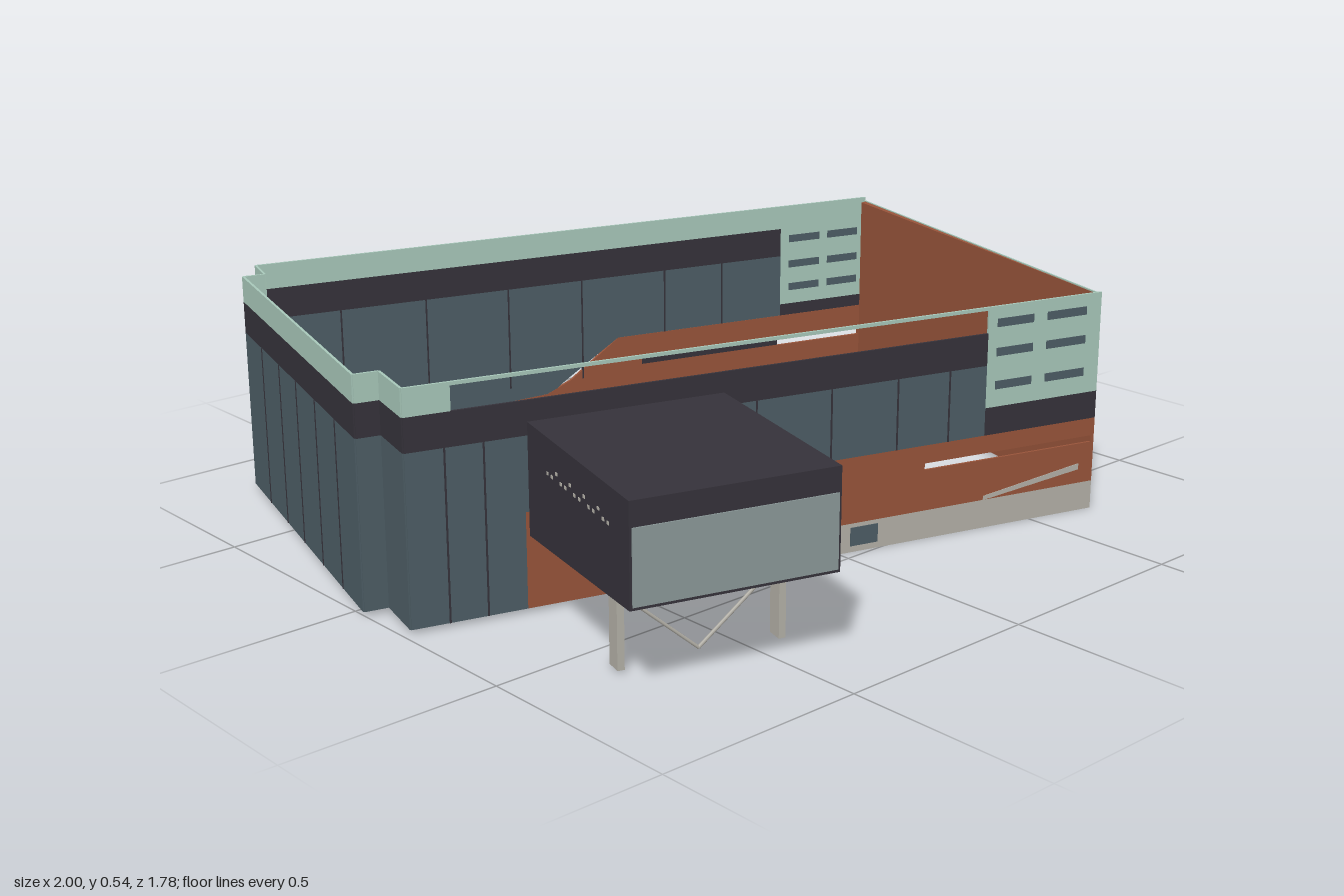
import * as THREE from 'three';

const mat = (name, color) => {
  const m = new THREE.MeshStandardMaterial({ color, side: THREE.DoubleSide });
  m.name = name;
  return m;
};

export function createModel() {
  const green = mat('pale green cladding', 0xa8c8ba);
  const dark = mat('charcoal cladding', 0x35323a);
  const glass = mat('blue grey glazing', 0x4d5d65);
  const orange = mat('terracotta cladding', 0x98543a);
  const stone = mat('pale stone', 0xb4b1a8);
  const pane = mat('pale glazing', 0x8b9999);

  const model = new THREE.Group();
  model.name = 'building';

  // Footprint corners as [x, z]
  const A = [-0.98, 0.18], B = [0.67, 0.66], C = [1, -0.42], D = [-0.67, -0.89];
  const E = [-0.7, -0.8], F = [-0.75, -0.815], G = [-1, 0.035], H = [-0.945, 0.05];

  // Group whose x runs from P to Q and whose z points outward
  function frame(name, P, Q) {
    const g = new THREE.Group();
    const dx = Q[0] - P[0], dz = Q[1] - P[1];
    g.name = name;
    g.position.set(P[0], 0, P[1]);
    g.rotation.y = -Math.atan2(dz, dx);
    g.userData.length = Math.hypot(dx, dz);
    model.add(g);
    return g;
  }

  const path = (pts, L, Type) => new Type(pts.map(([t, y]) => new THREE.Vector2(t * L, y)));
  const box = (t0, t1, y0, y1) => [[t0, y0], [t1, y0], [t1, y1], [t0, y1]];

  // Flat panel; points are [fraction along the wall, height]
  function panel(wall, name, material, pts, depth = 0.006, holes = []) {
    const L = wall.userData.length;
    const shape = path(pts, L, THREE.Shape);
    holes.forEach(h => shape.holes.push(path(h, L, THREE.Path)));
    const geo = new THREE.ExtrudeGeometry(shape, { depth, bevelEnabled: false });
    geo.translate(0, 0, -depth / 2);
    const mesh = new THREE.Mesh(geo, material);
    mesh.name = name;
    wall.add(mesh);
    return mesh;
  }

  function mullions(wall, ts, y0, y1) {
    const w = 0.002 / wall.userData.length;
    ts.forEach(t => panel(wall, 'mullion', dark, box(t - w, t + w, y0, y1), 0.009));
  }

  function windowGrid(wall, columns, rows) {
    for (const [a, b] of columns) for (const y of rows)
      panel(wall, 'stripWindow', glass, box(a, b, y - 0.01, y + 0.01), 0.009);
  }

  // Front wall
  const front = frame('frontWall', A, B);
  panel(front, 'glazing', glass, [[0, 0.01], [0.152, 0.01], [0.152, 0.23], [0.818, 0.23], [0.818, 0.4], [0, 0.4]]);
  panel(front, 'darkBand', dark, box(0, 0.818, 0.4, 0.477));
  panel(front, 'parapetEnd', green, box(0, 0.06, 0.477, 0.54));
  panel(front, 'parapetRail', green, box(0.06, 0.818, 0.532, 0.54));
  panel(front, 'windowPanel', green, box(0.818, 1, 0.297, 0.54));
  panel(front, 'panelBase', dark, box(0.818, 1, 0.23, 0.297));
  windowGrid(front, [[0.832, 0.89], [0.912, 0.976]], [0.35, 0.43, 0.5]);
  panel(front, 'cladding', orange,
    [[0.152, 0.01], [0.424, 0.01], [0.424, 0.07], [1, 0.07], [1, 0.23], [0.152, 0.23]], 0.006,
    [box(0.725, 0.995, 0.17, 0.186)]);
  panel(front, 'plinth', stone, box(0.424, 1, 0, 0.07));
  panel(front, 'rampRail', stone, [[0.82, 0.07], [0.976, 0.105], [0.976, 0.12], [0.82, 0.08]], 0.009);
  for (const t of [0.485, 0.552, 0.612]) panel(front, 'plinthWindow', glass, box(t, t + 0.042, 0.015, 0.06), 0.009);
  panel(front, 'door', glass, box(0.26, 0.335, 0.01, 0.067), 0.009);
  mullions(front, [0.05, 0.1], 0.01, 0.4);
  mullions(front, [0.47, 0.58, 0.68, 0.76], 0.23, 0.4);

  // Back wall
  const back = frame('backWall', C, D);
  panel(back, 'glazing', glass, [[0.155, 0.23], [0.44, 0.23], [0.53, 0.13], [0.56, 0.09], [0.74, 0.065],
    [0.74, 0.01], [1, 0.01], [1, 0.4], [0.155, 0.4]]);
  panel(back, 'darkBand', dark, box(0.155, 1, 0.4, 0.477));
  panel(back, 'parapet', green, box(0.155, 1, 0.477, 0.54));
  panel(back, 'windowPanel', green, box(0, 0.155, 0.262, 0.54));
  panel(back, 'panelBase', dark, box(0, 0.155, 0.23, 0.262));
  windowGrid(back, [[0.015, 0.07], [0.085, 0.14]], [0.31, 0.375, 0.447]);
  panel(back, 'cladding', orange, [[0, 0.06], [0.74, 0.06], [0.7, 0.085], [0.56, 0.1], [0.52, 0.13], [0.44, 0.23], [0, 0.23]],
    0.008, [box(0.01, 0.16, 0.145, 0.165)]);
  panel(back, 'groove', dark, box(0.16, 0.4, 0.147, 0.163), 0.0095);
  panel(back, 'plinth', stone, box(0, 0.745, 0, 0.06));
  panel(back, 'cornerWedge', orange, [[0.78, 0.01], [0.92, 0.01], [0.8, 0.07], [0.78, 0.07]], 0.009);
  for (const t of [0.1, 0.25, 0.37, 0.48, 0.7]) panel(back, 'plinthWindow', glass, box(t, t + 0.022, 0.015, 0.05), 0.009);
  mullions(back, [0.26, 0.36], 0.23, 0.4);
  mullions(back, [0.5, 0.62, 0.75, 0.88], 0.13, 0.4);

  // Left side walls with stepped corners
  [[D, E], [E, F], [F, G], [G, H], [H, A]].forEach(([P, Q], i) => {
    const wall = frame('leftWall' + (i + 1), P, Q);
    panel(wall, 'glazing', glass, box(0, 1, 0.01, 0.4));
    panel(wall, 'darkBand', dark, box(0, 1, 0.4, 0.477));
    panel(wall, 'parapet', green, box(0, 1, 0.477, 0.54));
    if (wall.userData.length > 0.5) mullions(wall, [0.17, 0.34, 0.5, 0.67, 0.84], 0.01, 0.4);
  });

  // Right wall: tapering terracotta core with green outer face
  const core = new THREE.Shape([[0.667, 0.655], [0.982, -0.4], [0.965, -0.4]].map(([x, z]) => new THREE.Vector2(x, -z)));
  const coreGeo = new THREE.ExtrudeGeometry(core, { depth: 0.523, bevelEnabled: false });
  coreGeo.rotateX(-Math.PI / 2).translate(0, 0.01, 0);
  const inner = new THREE.Mesh(coreGeo, orange);
  inner.name = 'rightWallInner';
  model.add(inner);
  const right = frame('rightWall', B, [0.986, -0.41]);
  panel(right, 'outerFace', green, box(0, 1, 0.01, 0.535), 0.004);

  // Projecting box with a sloping underside
  const wing = frame('projectingBox', [-0.72, 0.25], [-0.28, 0.38]);
  const W = wing.userData.length, R = 0.53;
  const profile = new THREE.Shape([[-0.005, 0.175], [R, 0.205], [R, 0.43], [-0.005, 0.43]].map(p => new THREE.Vector2(...p)));
  const bodyGeo = new THREE.ExtrudeGeometry(profile, { depth: W, bevelEnabled: false });
  bodyGeo.rotateY(-Math.PI / 2).translate(W, 0, 0);
  const body = new THREE.Mesh(bodyGeo, dark);
  body.name = 'boxBody';
  wing.add(body);
  panel(wing, 'frontPane', pane, box(0.012, 0.988, 0.212, 0.375)).position.z = R;

  // Small perforations on both box sides
  for (const x of [0, W]) for (let i = 0; i < 14; i++) {
    const hole = new THREE.Mesh(new THREE.BoxGeometry(0.003, 0.007, 0.009), stone);
    hole.name = 'perforation';
    hole.position.set(x, 0.352 + 0.014 * ((i * 5) % 3 % 2), 0.12 + i * 0.024);
    wing.add(hole);
  }

  // Legs and V brace
  for (const x of [0.05, 0.415]) {
    const leg = new THREE.Mesh(new THREE.BoxGeometry(0.016, 0.19, 0.04), stone);
    leg.name = 'leg';
    leg.position.set(x, 0.1, 0.35);
    wing.add(leg);
  }
  for (const x of [0.055, 0.41]) {
    const a = new THREE.Vector3(x, 0.165, 0.35), b = new THREE.Vector3(0.232, 0.012, 0.35);
    const brace = new THREE.Mesh(new THREE.TubeGeometry(new THREE.LineCurve3(a, b), 1, 0.004, 6), stone);
    brace.name = 'brace';
    wing.add(brace);
  }
  return model;
}
